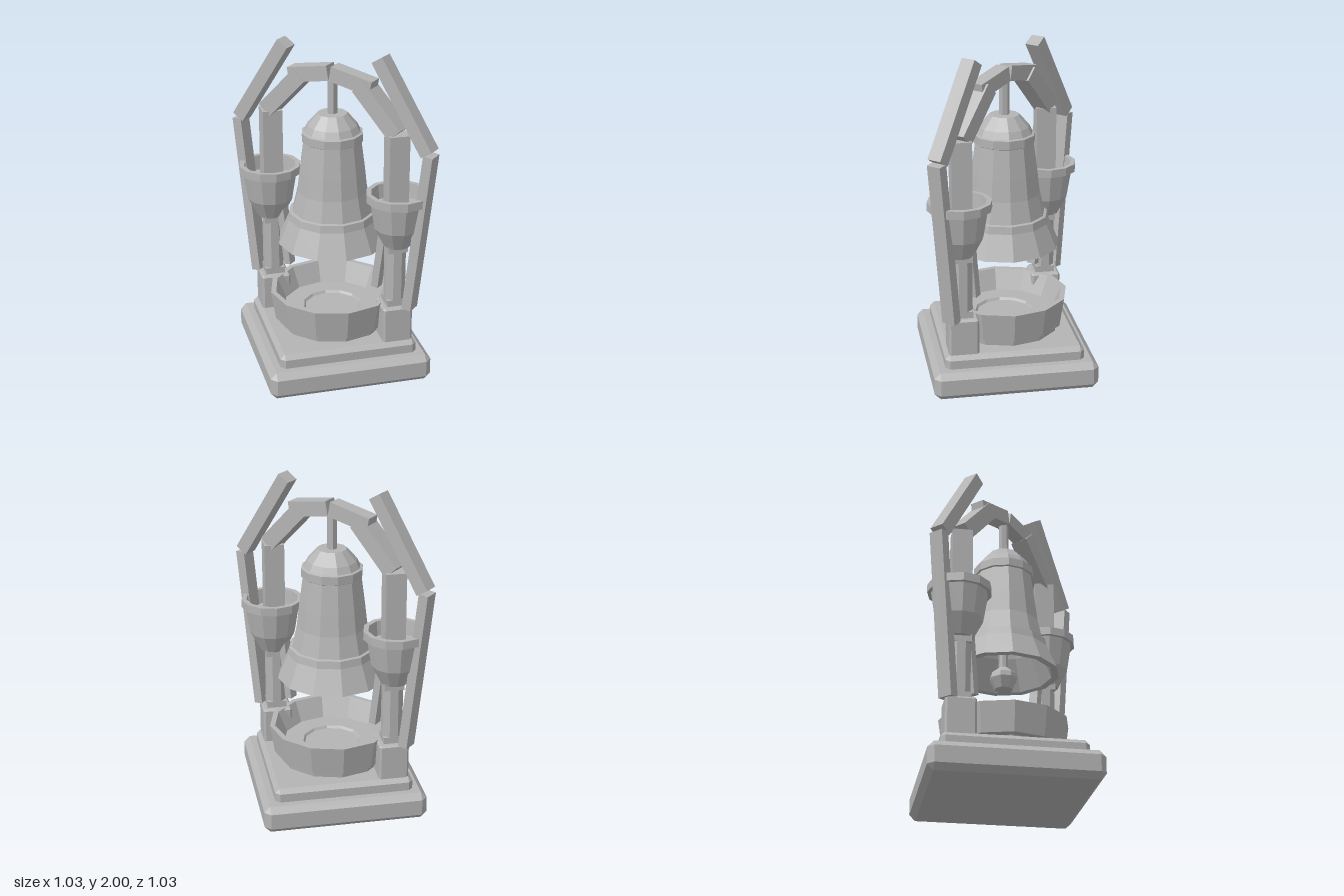
import * as THREE from 'three';
import { ConvexGeometry } from 'three/addons/geometries/ConvexGeometry.js';

const stone = new THREE.MeshStandardMaterial({ color: 0xb4b4b4 });
stone.name = 'grey stone';

function add(parent, name, geometry, x = 0, y = 0, z = 0) {
  const mesh = new THREE.Mesh(geometry, stone);
  mesh.name = name;
  mesh.position.set(x, y, z);
  parent.add(mesh);
  return mesh;
}

// Faceted solid of revolution; the profile runs up the outside and back down the inside
function turned(profile, sides) {
  const pts = profile.map(([r, y]) => new THREE.Vector2(r, y));
  const g = new THREE.LatheGeometry(pts, sides).toNonIndexed();
  g.computeVertexNormals();
  return g;
}

// Box with every edge cut at 45 degrees
function chamferBox(w, h, d, c) {
  const pts = [];
  for (const sx of [-1, 1]) for (const sy of [-1, 1]) for (const sz of [-1, 1]) {
    const x = w / 2, y = h / 2, z = d / 2;
    pts.push(new THREE.Vector3(sx * x, sy * (y - c), sz * (z - c)));
    pts.push(new THREE.Vector3(sx * (x - c), sy * y, sz * (z - c)));
    pts.push(new THREE.Vector3(sx * (x - c), sy * (y - c), sz * z));
  }
  return new ConvexGeometry(pts);
}

// Straight timber between two points of the frame plane
function beam(parent, name, [u1, y1], [u2, y2], thick, width) {
  const du = u2 - u1, dy = y2 - y1;
  const g = new THREE.BoxGeometry(thick, Math.hypot(du, dy), width);
  const mesh = add(parent, name, g, (u1 + u2) / 2, (y1 + y2) / 2, 0);
  mesh.rotation.z = Math.atan2(-du, dy);
}

// One half of the frame: pedestal, post, cup and timbers
function createSide() {
  const side = new THREE.Group();
  const p = 0.305;
  add(side, 'pedestal', chamferBox(0.18, 0.24, 0.18, 0.012), p, 0.35, p);

  // post, with its corners cut away below the cup
  add(side, 'upperPost', new THREE.BoxGeometry(0.12, 0.73, 0.12), p, 1.185, p);
  const shaft = new THREE.CylinderGeometry(0.065, 0.065, 0.36, 8).toNonIndexed();
  shaft.computeVertexNormals();
  add(side, 'lowerPost', shaft, p, 0.66, p).rotation.y = Math.PI / 8;
  add(side, 'postFoot', new THREE.BoxGeometry(0.12, 0.05, 0.12), p, 0.485, p);

  add(side, 'cup', turned([
    [0, 0.855], [0.08, 0.855], [0.14, 0.97], [0.168, 1.14], [0.19, 1.14],
    [0.19, 1.19], [0.16, 1.19], [0.15, 1.1], [0, 1.1],
  ], 12), 0.314, 0, 0.314);

  // timbers lie in the diagonal plane
  const frame = new THREE.Group();
  frame.name = 'timbers';
  frame.rotation.y = -Math.PI / 4;
  side.add(frame);
  beam(frame, 'outerStrut', [0.535, 0.46], [0.65, 1.46], 0.06, 0.09);
  beam(frame, 'upperArm', [0.64, 1.47], [0.315, 1.98], 0.08, 0.09);
  beam(frame, 'innerStrut', [0.31, 0.55], [0.36, 0.95], 0.045, 0.06);
  beam(frame, 'archBrace', [0.44, 1.553], [0.2, 1.807], 0.1, 0.115);
  beam(frame, 'archTop', [0.275, 1.8], [0.008, 1.85], 0.09, 0.09);
  return side;
}

export function createModel() {
  const model = new THREE.Group();
  model.name = 'bellShrine';

  // stepped base
  add(model, 'baseSlab', chamferBox(0.99, 0.17, 0.99, 0.036), 0, 0.085, 0);
  add(model, 'baseStep', chamferBox(0.84, 0.15, 0.84, 0.027), 0, 0.175, 0);

  // basin under the bell
  add(model, 'basin', turned([
    [0, 0.245], [0.33, 0.245], [0.335, 0.28], [0.36, 0.29], [0.387, 0.47],
    [0.355, 0.47], [0.3, 0.345], [0.18, 0.345], [0.17, 0.33], [0, 0.33],
  ], 12));

  // hollow bell
  add(model, 'bell', turned([
    [0.29, 0.79], [0.333, 0.79], [0.27, 0.94], [0.262, 0.985], [0.245, 0.99],
    [0.215, 1.12], [0.2, 1.25], [0.176, 1.43], [0.185, 1.435], [0.185, 1.485],
    [0.17, 1.49], [0.15, 1.53], [0.088, 1.6], [0, 1.6],
  ], 12));
  add(model, 'bellInside', turned([
    [0, 1.45], [0.14, 1.42], [0.18, 1.12], [0.21, 0.98], [0.29, 0.79],
  ].reverse().map((q) => q).reverse(), 12));

  // hanger and clapper
  add(model, 'hanger', turned([[0.03, 1.58], [0.03, 1.83]], 6));
  add(model, 'clapper', turned([
    [0, 0.69], [0.055, 0.69], [0.085, 0.755], [0.08, 0.787], [0.028, 0.83], [0.02, 1.45],
  ], 8)).rotation.y = Math.PI / 8;

  // two matching halves, turned half a circle apart
  ['leftSide', 'rightSide'].forEach((name, i) => {
    const side = createSide();
    side.name = name;
    side.rotation.y = i * Math.PI;
    model.add(side);
  });
  return model;
}
